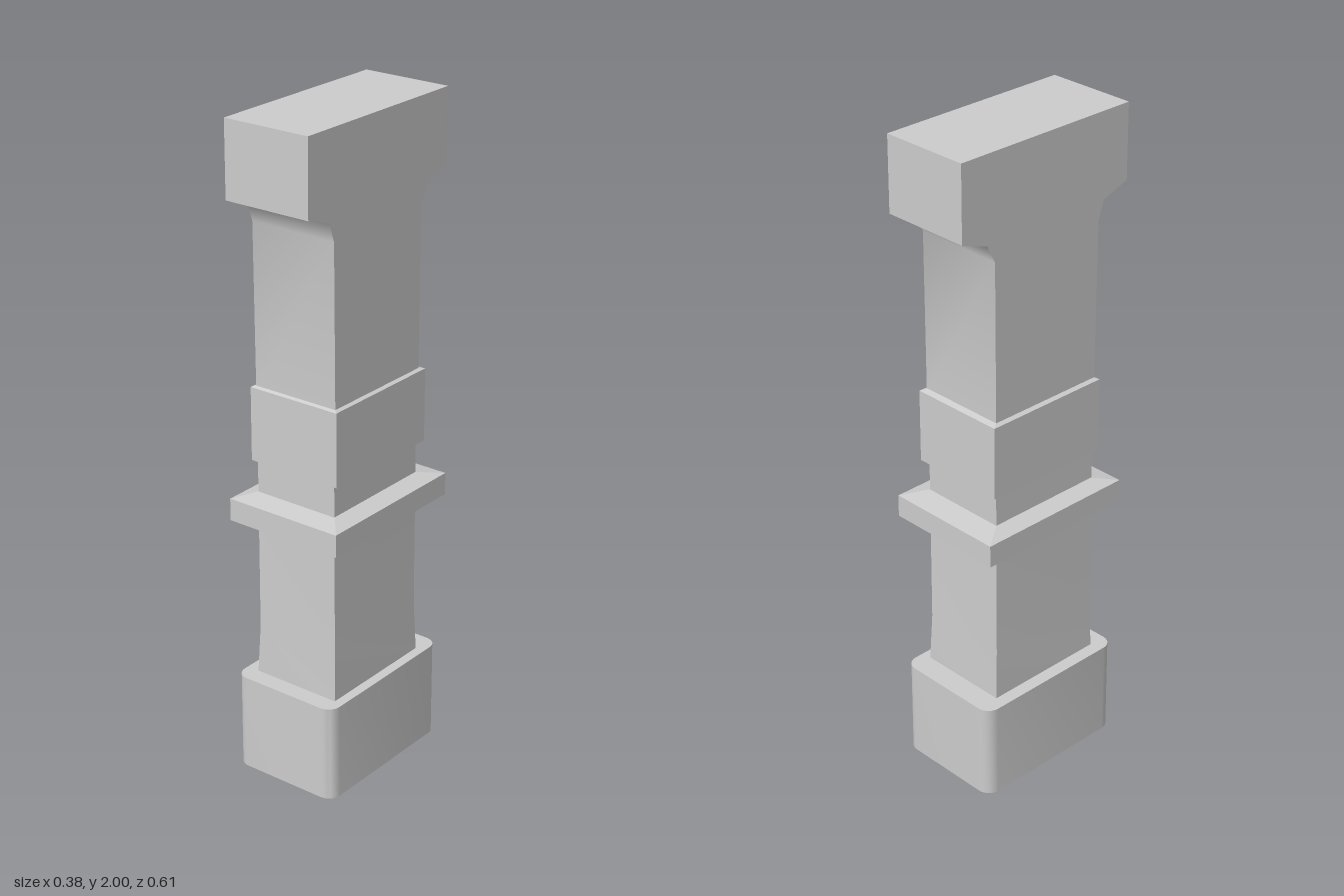
import * as THREE from 'three';
import { toCreasedNormals } from 'three/addons/utils/BufferGeometryUtils.js';

const material = new THREE.MeshStandardMaterial({ color: 0xcccccc, side: THREE.DoubleSide });

// Rectangle outline in x and z; r > 0 rounds the corners
function outline([, x0, x1, z0, z1], r) {
  const pts = [], steps = r > 0 ? 6 : 0;
  const corners = [[x1 - r, z1 - r], [x0 + r, z1 - r], [x0 + r, z0 + r], [x1 - r, z0 + r]];
  corners.forEach(([cx, cz], q) => {
    for (let i = 0; i <= steps; i++) {
      const a = (q + (steps ? i / steps : 0)) * Math.PI / 2;
      pts.push([cx + r * Math.cos(a), cz + r * Math.sin(a)]);
    }
  });
  return pts;
}

// Open skin through levels of [y, x0, x1, z0, z1, radius]
function loft(name, levels, crease = 0.5) {
  const pos = [], index = [];
  let n = 0;
  levels.forEach((level) => {
    const pts = outline(level, level[5] ?? 0);
    n = pts.length;
    pts.forEach(([x, z]) => pos.push(x, level[0], z));
  });
  for (let l = 0; l < levels.length - 1; l++) {
    for (let i = 0; i < n; i++) {
      const a = l * n + i, b = l * n + (i + 1) % n;
      index.push(a, a + n, b + n, a, b + n, b);
    }
  }
  const g = new THREE.BufferGeometry();
  g.setAttribute('position', new THREE.Float32BufferAttribute(pos, 3));
  g.setIndex(index);
  return mesh(name, g, crease);
}

function mesh(name, geometry, crease) {
  const m = new THREE.Mesh(toCreasedNormals(geometry, crease), material);
  m.name = name;
  return m;
}

export function createModel() {
  const group = new THREE.Group();
  group.name = 'bracketPost';

  // Hollow foot with rounded corners and a flat ledge round the shaft
  group.add(loft('foot', [
    [0, -0.185, 0.17, -0.266, 0.253, 0.04],
    [0.3, -0.185, 0.17, -0.266, 0.253, 0.04],
    [0.3, -0.135, 0.13, -0.18, 0.18, 0.005],
  ], 0.6));

  // Hollow shaft, slightly flared where it enters the foot
  group.add(loft('lowerShaft', [
    [0.115, -0.145, 0.14, -0.195, 0.2],
    [0.3, -0.145, 0.14, -0.195, 0.198],
    [0.45, -0.139, 0.136, -0.187, 0.192],
    [1.0, -0.139, 0.134, -0.187, 0.192],
  ]));

  // Wide thin collar with sloped top
  group.add(loft('collar', [
    [0.787, -0.135, 0.13, -0.18, 0.185],
    [0.79, -0.17, 0.168, -0.238, 0.235],
    [0.802, -0.19, 0.19, -0.259, 0.256],
    [0.87, -0.19, 0.19, -0.259, 0.256],
    [0.885, -0.135, 0.13, -0.18, 0.185],
  ], 0.2));

  // Tall band with bevelled rims
  group.add(loft('band', [
    [0.973, -0.135, 0.13, -0.18, 0.185],
    [0.982, -0.152, 0.15, -0.205, 0.203],
    [1.205, -0.152, 0.15, -0.205, 0.203],
    [1.213, -0.135, 0.13, -0.18, 0.185],
  ], 0.2));

  // Upper shaft and bracketed head as one side profile (z, y) swept across x
  const profile = new THREE.Shape([
    [0.193, 1.19], [0.198, 1.69], [0.217, 1.745], [0.305, 1.775], [0.305, 2],
    [-0.305, 2], [-0.305, 1.775], [-0.217, 1.745], [-0.189, 1.69], [-0.187, 1.19],
  ].map(([z, y]) => new THREE.Vector2(z, y)));
  const head = new THREE.ExtrudeGeometry(profile, { depth: 0.279, bevelEnabled: false });
  head.rotateY(-Math.PI / 2).translate(0.139, 0, 0);
  group.add(mesh('upperShaftAndHead', head, 0.97));

  return group;
}
